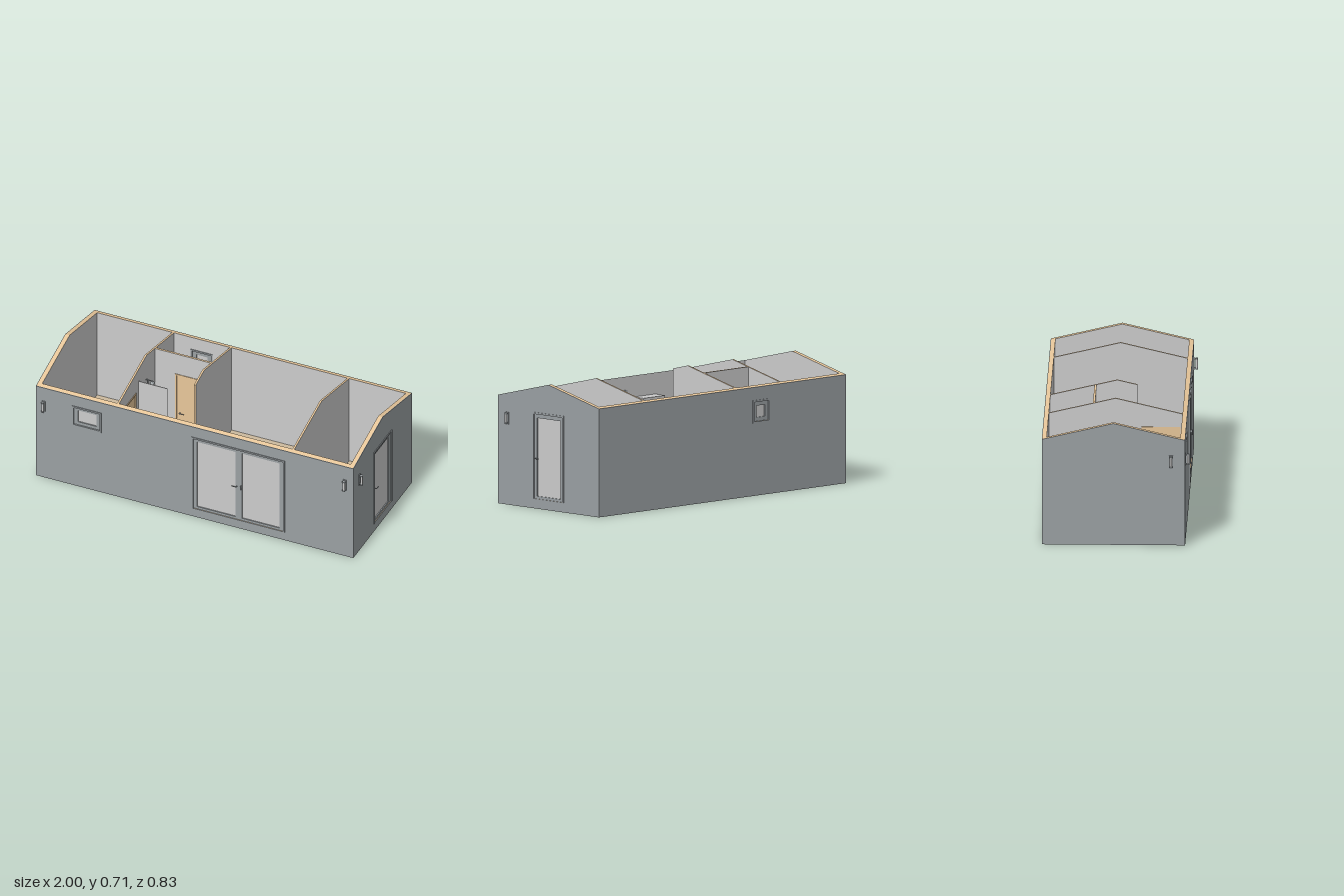
import * as THREE from 'three';

const mat = (color) => new THREE.MeshStandardMaterial({ color });
const FLOOR = 0.055;
const DOOR_TOP = 0.545;
const X0 = -0.978, X1 = 0.974, Z0 = -0.411, Z1 = 0.393; // outer faces
const WALL = 0.027, SKIN = 0.003;
const roofY = (z) => 0.71 - 0.2375 * Math.abs(z + 0.009);

export function createModel() {
  const root = new THREE.Group();
  const grey = mat(0xcccccc), cladding = mat(0x9aa0a3), wood = mat(0xe8c79a), floorMat = mat(0xcdbb9f);

  const add = (parent, name, geo, material, x = 0, y = 0, z = 0) => {
    const m = new THREE.Mesh(geo, material);
    m.name = name;
    m.position.set(x, y, z);
    parent.add(m);
    return m;
  };
  // Box given by its two corners
  const box = (parent, name, material, x0, x1, y0, y1, z0, z1) =>
    add(parent, name, new THREE.BoxGeometry(x1 - x0, y1 - y0, z1 - z0), material,
      (x0 + x1) / 2, (y0 + y1) / 2, (z0 + z1) / 2);
  const group = (name, x = 0, y = 0, z = 0, ry = 0, parent = root) => {
    const g = new THREE.Group();
    g.name = name;
    g.position.set(x, y, z);
    g.rotation.y = ry;
    parent.add(g);
    return g;
  };
  // Extruded panel with rectangular holes [u0, u1, y0, y1]
  const panel = (points, holes, depth) => {
    const s = new THREE.Shape(points.map((p) => new THREE.Vector2(...p)));
    for (const [a, b, c, d] of holes) {
      s.holes.push(new THREE.Path([[a, c], [a, d], [b, d], [b, c]].map((p) => new THREE.Vector2(...p))));
    }
    return new THREE.ExtrudeGeometry(s, { depth, bevelEnabled: false });
  };
  const rect = (a, b, c, d) => [[a, c], [b, c], [b, d], [a, d]];

  // Long wall: the top edge follows the roof slope
  const longWall = (name, x0, x1, z0, z1, holes, mats, y0 = 0) => {
    const geo = panel(rect(x0, x1, y0, 0.62), holes, z1 - z0).translate(0, 0, z0);
    const p = geo.attributes.position;
    for (let i = 0; i < p.count; i++) if (p.getY(i) > 0.6) p.setY(i, roofY(p.getZ(i)));
    geo.computeVertexNormals();
    return add(root, name, geo, mats);
  };
  // Cross wall with a gable top, lying in the z-y plane
  const gableWall = (name, x0, x1, z0, z1, holes, mats, y0 = 0) => {
    const pts = [[z0, y0], [z1, y0], [z1, roofY(z1)]];
    if (z1 > -0.009) pts.push([-0.009, roofY(-0.009)]);
    pts.push([z0, roofY(z0)]);
    const geo = panel(pts, holes, x1 - x0).rotateY(-Math.PI / 2).translate(x1, 0, 0);
    return add(root, name, geo, mats);
  };

  // Outer walls: timber core lined inside, with a thin cladding skin outside
  const core = [grey, wood], skin = [cladding, cladding];
  const T = 0.01;
  const frontHoles = [[-0.01, 0.543, FLOOR, DOOR_TOP - T], [-0.745, -0.585, 0.42, 0.535]];
  const backHoles = [[-0.365, -0.25, 0.42, 0.53]];
  const endHoles = [[-0.123, 0.105, FLOOR, DOOR_TOP - T]];
  const xi0 = X0 + WALL, xi1 = X1 - WALL, zi0 = Z0 + WALL, zi1 = Z1 - WALL;
  longWall('frontWall', xi0, xi1, zi1, Z1 - SKIN, frontHoles, core);
  longWall('frontCladding', X0, X1, Z1 - SKIN, Z1, frontHoles, skin);
  longWall('backWall', xi0, xi1, Z0 + SKIN, zi0, backHoles, core);
  longWall('backCladding', X0, X1, Z0, Z0 + SKIN, backHoles, skin);
  gableWall('leftEndWall', xi1, X1 - SKIN, Z0 + SKIN, Z1 - SKIN, endHoles, core);
  gableWall('leftEndCladding', X1 - SKIN, X1, Z0 + SKIN, Z1 - SKIN, endHoles, skin);
  gableWall('rightEndWall', X0 + SKIN, xi0, Z0 + SKIN, Z1 - SKIN, [], core);
  gableWall('rightEndCladding', X0, X0 + SKIN, Z0 + SKIN, Z1 - SKIN, [], skin);

  // Floor slab with boards on top
  box(root, 'floorSlab', cladding, xi0, xi1, 0.022, 0.045, zi0, zi1);
  box(root, 'floorBoards', floorMat, xi0, xi1, 0.045, FLOOR, zi0, zi1);

  // Inner partitions
  gableWall('bedroomPartition', -0.489, -0.478, zi0, zi1, [[0.145, 0.345, FLOOR + 0.001, DOOR_TOP - T]], core, FLOOR);
  gableWall('bathroomPartition', -0.135, -0.124, zi0, 0.105, [], core, FLOOR);
  gableWall('farPartition', 0.588, 0.599, zi0, zi1, [], core, FLOOR);
  add(root, 'crossPartition', panel(rect(-0.478, -0.135, FLOOR, roofY(-0.131)),
    [[-0.345, -0.155, FLOOR + 0.001, DOOR_TOP - T]], 0.012), core, 0, 0, -0.137);

  // Casing bars around an opening (doors have no sill bar)
  const casing = (g, m, a, b, c, d, z0, z1, sill) => {
    box(g, 'casingSide', m, a, a + T, c, d, z0, z1);
    box(g, 'casingSide', m, b - T, b, c, d, z0, z1);
    box(g, 'casingTop', m, a + T, b - T, d - T, d, z0, z1);
    if (sill) box(g, 'casingSill', m, a + T, b - T, c, c + T, z0, z1);
  };
  // Sash with a pane: outer rectangle, glass rectangle
  const sash = (g, outer, glass) => {
    add(g, 'sash', panel(rect(...outer), [glass], 0.018), cladding, 0, 0, -0.023);
    box(g, 'pane', grey, glass[0], glass[1], glass[2], glass[3], -0.017, -0.011);
  };
  // Lever handle on both faces
  const handle = (g, x, y, zBack, zFront, dir) => {
    for (const [z, s] of [[zFront, 1], [zBack, -1]]) {
      const stem = add(g, 'handleStem', new THREE.CylinderGeometry(0.003, 0.003, 0.014, 10), cladding, x, y, z + s * 0.006);
      stem.rotation.x = Math.PI / 2;
      const lever = add(g, 'handleLever', new THREE.CylinderGeometry(0.0025, 0.0025, 0.03, 10), cladding, x + dir * 0.012, y, z + s * 0.012);
      lever.rotation.z = Math.PI / 2;
    }
  };

  // Double glazed front door
  const fd = group('frontDoubleDoor', 0, 0, Z1);
  casing(fd, cladding, -0.02, 0.553, FLOOR, DOOR_TOP, -WALL - 0.004, 0.004, false);
  sash(fd, [-0.01, 0.268, FLOOR, 0.535], [0.01, 0.247, 0.07, 0.515]);
  sash(fd, [0.27, 0.543, FLOOR, 0.535], [0.288, 0.519, 0.07, 0.515]);
  handle(fd, 0.256, 0.283, -0.023, -0.005, -1);
  box(fd, 'pullHandle', cladding, 0.28, 0.286, 0.27, 0.295, -0.005, 0.008);

  // Glazed end door
  const ed = group('endDoor', X1, 0, 0, Math.PI / 2);
  casing(ed, cladding, -0.115, 0.133, FLOOR, DOOR_TOP, -WALL - 0.004, 0.004, false);
  sash(ed, [-0.105, 0.123, FLOOR, 0.535], [-0.085, 0.1, 0.07, 0.513]);
  handle(ed, -0.09, 0.283, -0.023, -0.005, 1);

  // Windows
  const fw = group('frontWindow', 0, 0, Z1);
  casing(fw, cladding, -0.755, -0.575, 0.41, 0.545, -WALL - 0.004, 0.004, true);
  sash(fw, [-0.745, -0.585, 0.42, 0.535], [-0.722, -0.606, 0.44, 0.518]);
  const bw = group('backWindow', 0, 0, Z0, Math.PI);
  casing(bw, cladding, 0.24, 0.375, 0.41, 0.54, -WALL - 0.004, 0.004, true);
  sash(bw, [0.25, 0.365, 0.42, 0.53], [0.274, 0.341, 0.442, 0.508]);

  // Wooden inner doors, centred on their partitions
  const innerDoor = (name, x, z, ry, w, dir) => {
    const g = group(name, x, 0, z, ry);
    const h = w / 2;
    casing(g, wood, -h, h, FLOOR, DOOR_TOP, -0.009, 0.009, false);
    box(g, 'doorLeaf', wood, -h + T, h - T, FLOOR, DOOR_TOP - T, -0.004, 0.004);
    handle(g, -dir * (h - 0.03), 0.283, -0.004, 0.004, dir);
  };
  innerDoor('bedroomDoor', -0.4835, 0.245, Math.PI / 2, 0.22, -1);
  innerDoor('bathroomDoor', -0.25, -0.131, 0, 0.21, 1);

  // Wall lamps: back plate, two arms and a tube
  const lamp = (x, z, ry) => {
    const g = group('wallLamp', x, 0.49, z, ry);
    box(g, 'lampPlate', cladding, -0.01, 0.01, -0.035, 0.035, 0, 0.004);
    for (const s of [-1, 1]) {
      box(g, 'lampArm', cladding, -0.004, 0.004, s * 0.026 - 0.003, s * 0.026 + 0.003, 0.004, 0.016);
      add(g, 'lampCap', new THREE.CylinderGeometry(0.009, 0.009, 0.008, 20), cladding, 0, s * 0.028, 0.015);
    }
    add(g, 'lampTube', new THREE.CylinderGeometry(0.007, 0.007, 0.05, 20), grey, 0, 0, 0.015);
  };
  lamp(-0.93, Z1, 0);
  lamp(0.922, Z1, 0);
  lamp(X1, 0.314, Math.PI / 2);
  lamp(X0, 0.314, -Math.PI / 2);

  // Wall unit beside the front door
  box(root, 'wallUnit', grey, -0.243, -0.072, 0.44, 0.5, 0.288, zi1);

  // Toilet
  const toilet = group('toilet', -0.308, FLOOR, zi0);
  box(toilet, 'cistern', grey, -0.048, 0.048, 0.09, 0.185, 0, 0.042);
  box(toilet, 'cisternLid', grey, -0.052, 0.052, 0.185, 0.193, 0, 0.046);
  box(toilet, 'pedestalBack', grey, -0.028, 0.028, 0, 0.09, 0.01, 0.075);
  const lathe = (pts) => new THREE.LatheGeometry(pts.map((p) => new THREE.Vector2(...p)), 28);
  add(toilet, 'bowl', lathe([[0, 0], [0.028, 0], [0.026, 0.03], [0.04, 0.075], [0.042, 0.096], [0, 0.096]]), grey, 0, 0, 0.092).scale.z = 1.3;
  add(toilet, 'seatLid', new THREE.CylinderGeometry(0.043, 0.043, 0.008, 28), grey, 0, 0.1, 0.092).scale.z = 1.3;

  // Wash basin
  const basin = group('washBasin', -0.478, FLOOR, -0.205);
  add(basin, 'basinBowl', lathe([[0, 0.15], [0.025, 0.155], [0.04, 0.18], [0.045, 0.205], [0.038, 0.205], [0.03, 0.18], [0, 0.168]]), grey, 0.04, 0, 0).scale.x = 0.85;
  add(basin, 'basinPedestal', new THREE.CylinderGeometry(0.014, 0.018, 0.155, 20), grey, 0.035, 0.0775, 0);
  box(basin, 'basinShelf', grey, 0, 0.014, 0.17, 0.205, -0.035, 0.035);
  const spout = new THREE.CatmullRomCurve3([[0.008, 0.2, 0], [0.01, 0.235, 0], [0.025, 0.243, 0], [0.036, 0.228, 0]]
    .map((p) => new THREE.Vector3(...p)));
  add(basin, 'basinTap', new THREE.TubeGeometry(spout, 16, 0.003, 8), cladding);

  // Shower: screen, rail, head and mixer
  box(root, 'showerScreen', grey, -0.478, -0.3, FLOOR, 0.605, 0.1, 0.104);
  const shower = group('shower', -0.478, 0, 0);
  add(shower, 'showerRail', new THREE.CylinderGeometry(0.003, 0.003, 0.25, 10), cladding, 0.012, 0.43, 0);
  const arm = add(shower, 'showerArm', new THREE.CylinderGeometry(0.003, 0.003, 0.04, 10), cladding, 0.02, 0.55, 0);
  arm.rotation.z = Math.PI / 2;
  add(shower, 'showerHead', new THREE.CylinderGeometry(0.006, 0.014, 0.012, 20), cladding, 0.04, 0.543, 0);
  box(shower, 'showerMixer', cladding, 0, 0.016, 0.298, 0.31, -0.035, 0.035);
  for (const s of [-1, 1]) {
    const knob = add(shower, 'showerKnob', new THREE.CylinderGeometry(0.007, 0.007, 0.012, 16), cladding, 0.012, 0.304, s * 0.036);
    knob.rotation.x = Math.PI / 2;
  }
  return root;
}
